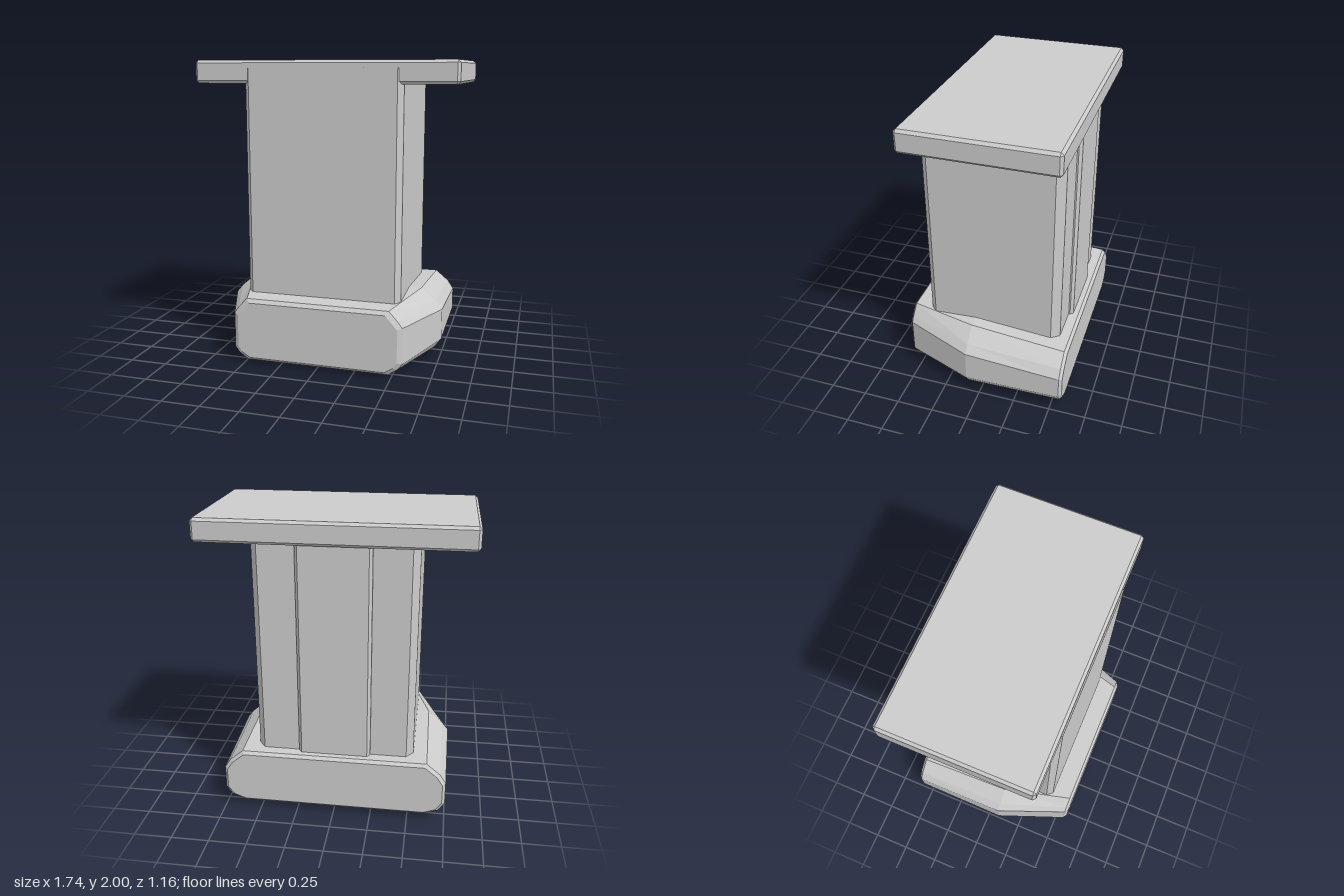
import * as THREE from 'three';
import { ConvexGeometry } from 'three/addons/geometries/ConvexGeometry.js';

// Box with every edge cut at 45 degrees
function chamferedBox(w, h, d, c) {
  const points = [];
  for (const x of [-1, 1]) for (const y of [-1, 1]) for (const z of [-1, 1]) {
    for (let axis = 0; axis < 3; axis++) {
      const inset = [c, c, c];
      inset[axis] = 0;
      points.push(new THREE.Vector3(
        x * (w / 2 - inset[0]), y * (h / 2 - inset[1]), z * (d / 2 - inset[2])));
    }
  }
  return new ConvexGeometry(points);
}

// Skin mirrored cross-sections, listed from back to front, and close both ends
function loftSections(sections) {
  const rings = sections.map(({ z, half }) => [
    ...half.map(([x, y]) => [x, y, z]),
    ...half.slice().reverse().map(([x, y]) => [-x, y, z]),
  ]);
  const n = rings[0].length;
  const positions = [];
  const triangle = (a, b, c) => positions.push(...a, ...b, ...c);
  for (let i = 0; i < rings.length - 1; i++) {
    for (let j = 0; j < n; j++) {
      const k = (j + 1) % n;
      triangle(rings[i][j], rings[i][k], rings[i + 1][k]);
      triangle(rings[i][j], rings[i + 1][k], rings[i + 1][j]);
    }
  }
  const back = rings[0], front = rings[rings.length - 1];
  for (let j = 1; j < n - 1; j++) {
    triangle(back[0], back[j + 1], back[j]);
    triangle(front[0], front[j], front[j + 1]);
  }
  const geometry = new THREE.BufferGeometry();
  geometry.setAttribute('position', new THREE.Float32BufferAttribute(positions, 3));
  geometry.computeVertexNormals();
  return geometry;
}

export function createModel() {
  const model = new THREE.Group();
  model.name = 'pedestal';
  const stone = new THREE.MeshStandardMaterial({ color: 0xcccccc });
  stone.name = 'stone grey';

  const add = (name, geometry) => {
    const mesh = new THREE.Mesh(geometry, stone);
    mesh.name = name;
    model.add(mesh);
    return mesh;
  };

  // Bulging foot: right half of each section, bottom to top
  add('foot', loftSections([
    { z: -0.58, half: [[0.61, 0.055], [0.69, 0.085], [0.73, 0.14], [0.73, 0.275], [0.69, 0.335], [0.61, 0.4]] },
    { z: -0.56, half: [[0.62, 0.035], [0.71, 0.07], [0.75, 0.13], [0.75, 0.285], [0.71, 0.345], [0.62, 0.42]] },
    { z: 0.09, half: [[0.61, 0], [0.71, 0.055], [0.755, 0.12], [0.755, 0.33], [0.71, 0.385], [0.61, 0.47]] },
    { z: 0.56, half: [[0.48, 0.02], [0.54, 0.06], [0.57, 0.1], [0.57, 0.34], [0.54, 0.38], [0.48, 0.445]] },
    { z: 0.58, half: [[0.46, 0.04], [0.515, 0.075], [0.54, 0.11], [0.54, 0.33], [0.515, 0.36], [0.46, 0.42]] },
  ]));

  // Post outline seen from above, with cut corners and a raised back panel
  const halfPlan = [
    [0.49, 0.43], [0.525, 0.39], [0.525, -0.44], [0.48, -0.495],
    [0.24, -0.495], [0.24, -0.505], [0.22, -0.525],
  ];
  const plan = [...halfPlan, ...halfPlan.slice().reverse().map(([x, z]) => [-x, z])];
  const outline = new THREE.Shape(plan.map(([x, z]) => new THREE.Vector2(x, -z)));
  const post = add('post', new THREE.ExtrudeGeometry(outline, { depth: 1.65, bevelEnabled: false }));
  post.rotation.x = -Math.PI / 2;
  post.position.y = 0.3;

  // Table slab
  add('topSlab', chamferedBox(1.74, 0.15, 0.98, 0.018)).position.set(0, 1.925, -0.068);

  return model;
}
